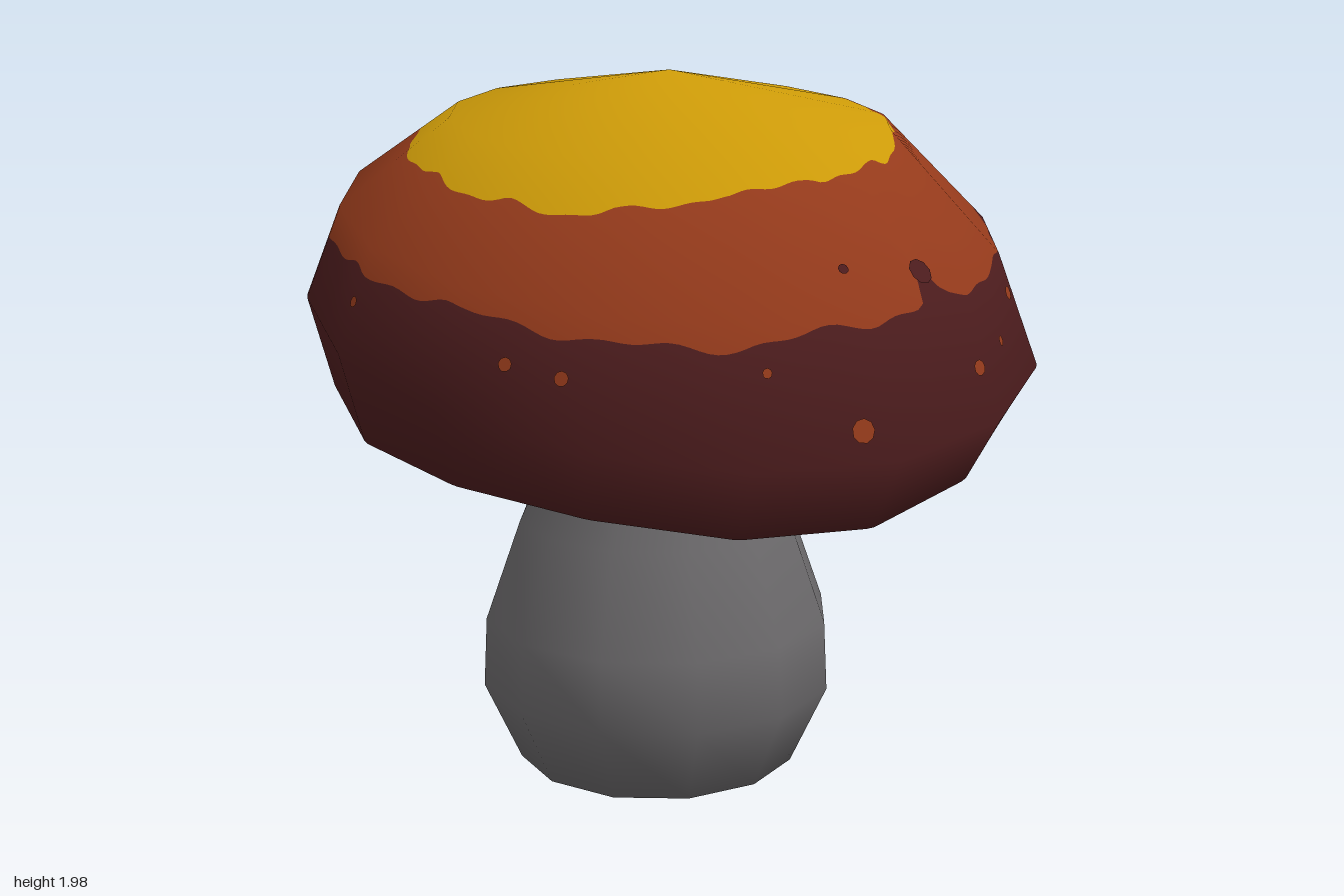
import * as THREE from 'three';

const mat = (name, color, side = THREE.FrontSide) => {
  const m = new THREE.MeshStandardMaterial({ color, side });
  m.name = name;
  return m;
};

const SIDES = 16, COLUMNS = 256, TWIST = 0.6;
// Cap rings from apex to gills: radius, height, shift along z, tilt along z, share of lip waviness
const RINGS = [
  [0, 0.668, -0.13, 0, 0], [0.605, 0.543, -0.105, 0.126, 0], [0.91, 0.283, -0.06, 0.06, 0],
  [1.02, 0.02, 0, 0, 0.2], [0.945, -0.2, 0.015, 0, 1], [0.86, -0.226, 0, 0, 1],
  [0.6, -0.14, 0, 0, 0.4], [0.05, -0.04, 0, 0, 0],
];
const LAST = RINGS.length - 1;

// Soft bump around an angle
const bump = (a, centre, width) => {
  const d = Math.atan2(Math.sin(a - centre), Math.cos(a - centre)) / width;
  return Math.exp(-d * d);
};
const lipWave = (a) => 0.11 * bump(a, 0.7, 0.45) - 0.05 * bump(a, 1.5, 0.3)
  - 0.05 * bump(a, 4.35, 0.5) + 0.02 * bump(a, -1, 0.4);

// Indices for a closed tube of rows, running downwards
function gridIndex(rows, cols, fromRow = 0) {
  const index = [];
  for (let i = fromRow; i < fromRow + rows - 1; i++) {
    for (let j = 0; j < cols; j++) {
      const k = (j + 1) % cols;
      const a = i * cols + j, b = i * cols + k, c = a + cols, d = b + cols;
      index.push(a, c, b, b, c, d);
    }
  }
  return index;
}

// Coarse cap form, returned as a sampler of position and normal at (angle, ring)
function capSurface() {
  const pos = [];
  for (const [r, y, shift, tilt, wave] of RINGS) {
    for (let j = 0; j < SIDES; j++) {
      const a = ((j + TWIST) / SIDES) * Math.PI * 2;
      const z = Math.cos(a) * r;
      pos.push(Math.sin(a) * r, y + tilt * z + wave * lipWave(a), z + shift);
    }
  }
  const geo = new THREE.BufferGeometry();
  geo.setAttribute('position', new THREE.Float32BufferAttribute(pos, 3));
  geo.setIndex(gridIndex(RINGS.length, SIDES));
  geo.computeVertexNormals();
  for (let j = 0; j < SIDES; j++) geo.attributes.normal.setXYZ(j, 0, 1, 0);
  geo.applyMatrix4(new THREE.Matrix4().makeRotationFromEuler(new THREE.Euler(0.235, 0, 0.065)));
  geo.translate(0, 1.3, 0);

  const read = (attr, i, j) =>
    new THREE.Vector3().fromBufferAttribute(attr, i * SIDES + ((j % SIDES) + SIDES) % SIDES);
  const sample = (attr, angle, s) => {
    const u = (angle / (Math.PI * 2)) * SIDES - TWIST;
    const j = Math.floor(u), i = Math.min(Math.floor(s), LAST - 1);
    const top = read(attr, i, j).lerp(read(attr, i, j + 1), u - j);
    const low = read(attr, i + 1, j).lerp(read(attr, i + 1, j + 1), u - j);
    return top.lerp(low, s - i);
  };
  return (angle, s) => ({
    p: sample(geo.attributes.position, angle, s),
    n: sample(geo.attributes.normal, angle, s).normalize(),
  });
}

// Ring value down to which the cap stays inside a region
function edgeAt(surface, angle, inside) {
  let lo = 0, hi = 3;
  for (let k = 0; k < 20; k++) {
    const mid = (lo + hi) / 2;
    if (inside(surface(angle, mid).p)) lo = mid; else hi = mid;
  }
  return lo;
}

function createCap(surface, materials) {
  // Ragged colour borders, one set per column
  const ragged = (a, k) =>
    Math.sin(a * 5 + k) * 0.5 + Math.sin(a * 13 + k * 3) * 0.4 + Math.sin(a * 29 + k * 5) * 0.3;
  const spikes = [0.4, 0.96, 1.43, 2.0, 2.48, 2.79, 3.02, 3.67, 4.2, 4.8, 5.4, 5.9];
  const borders = [];
  for (let j = 0; j < COLUMNS; j++) {
    const a = (j / COLUMNS) * Math.PI * 2;
    const radius = 0.645 + ragged(a, 1) * 0.012 + 0.035 * bump(a, 0.55, 0.5);
    const crown = edgeAt(surface, a, (p) => Math.hypot(p.x + 0.1, p.z) < radius);
    const height = 1.568 + ragged(a, 2) * 0.022 + 0.07 * bump(a, 0.1, 0.035) + 0.035 * bump(a, 1.9, 0.7);
    const band = edgeAt(surface, a, (p) => p.y > height + 0.11 * p.x - 0.17 * p.z);
    let gill = 5.28 + ragged(a, 4) * 0.08 + 0.1 * bump(a, 1.2, 0.4);
    spikes.forEach((c, k) => { gill -= (0.85 + (k % 3) * 0.2) * bump(a, c, 0.032); });
    borders.push([0, crown, band, gill, LAST]);
  }

  // Each colour zone repeats the ring rows, clamped between its borders
  const pos = [], nor = [], index = [];
  const geo = new THREE.BufferGeometry();
  for (let zone = 0; zone < 4; zone++) {
    const firstRow = zone * RINGS.length;
    for (let row = 0; row < RINGS.length; row++) {
      for (let j = 0; j < COLUMNS; j++) {
        const s = THREE.MathUtils.clamp(row, borders[j][zone], borders[j][zone + 1]);
        const { p, n } = surface((j / COLUMNS) * Math.PI * 2, s);
        pos.push(p.x, p.y, p.z);
        nor.push(n.x, n.y, n.z);
      }
    }
    const part = gridIndex(RINGS.length, COLUMNS, firstRow);
    geo.addGroup(index.length, part.length, zone);
    for (const v of part) index.push(v);
  }
  geo.setAttribute('position', new THREE.Float32BufferAttribute(pos, 3));
  geo.setAttribute('normal', new THREE.Float32BufferAttribute(nor, 3));
  geo.setIndex(index);
  const cap = new THREE.Mesh(geo, materials);
  cap.name = 'cap';
  return cap;
}

export function createModel() {
  const yellow = mat('crown yellow', 0xcc9a08);
  const orange = mat('band orange', 0x943a1b);
  const brown = mat('rim brown', 0x4c1c1d);
  const dark = mat('gill black', 0x150504, THREE.DoubleSide);
  const grey = mat('stem grey', 0x6b696b);

  const model = new THREE.Group();
  model.name = 'mushroom';

  // Cap
  const surface = capSurface();
  model.add(createCap(surface, [yellow, orange, brown, dark]));

  // Spots: angle in degrees, ring value, radius, material
  const spots = new THREE.Group();
  spots.name = 'spots';
  const list = [
    [-58, 2.5, 0.019, orange], [-28, 2.33, 0.013, orange], [-14, 2.77, 0.031, orange],
    [12, 2.57, 0.021, orange], [23, 2.54, 0.014, orange], [33, 2.3, 0.019, orange],
    [58, 2.46, 0.019, orange], [68, 2.54, 0.018, orange], [88, 2.64, 0.021, orange],
    [102, 2.2, 0.018, orange], [-132, 2.4, 0.018, orange], [-99, 2.5, 0.015, orange],
    [188, 2.15, 0.022, orange], [-67, 2.5, 0.018, orange],
    [-11, 1.7, 0.014, brown], [6, 1.82, 0.036, brown],
  ];
  for (const [deg, s, radius, material] of list) {
    const angle = THREE.MathUtils.degToRad(deg);
    const { p, n } = surface(angle, s);
    const spot = new THREE.Mesh(new THREE.CircleGeometry(radius, 9), material);
    spot.name = 'spot';
    // Face the flat of the cap rather than its smoothed normal
    const du = surface(angle + 0.02, s).p.sub(surface(angle - 0.02, s).p);
    const dv = surface(angle, s + 0.04).p.sub(surface(angle, s - 0.04).p);
    const flat = dv.cross(du).normalize();
    if (flat.dot(n) < 0) flat.negate();
    spot.quaternion.setFromUnitVectors(new THREE.Vector3(0, 0, 1), flat);
    spot.position.copy(p).addScaledVector(flat, 0.005);
    spots.add(spot);
  }
  model.add(spots);

  // Stem with a bulbous foot, closed underneath
  const profile = [[0, 0], [0.405, 0], [0.51, 0.23], [0.5, 0.43], [0.4, 0.71], [0.315, 0.9], [0.215, 1.2], [0.185, 1.36]];
  const stem = new THREE.Mesh(
    new THREE.LatheGeometry(profile.map(([r, y]) => new THREE.Vector2(r, y)), 12), grey);
  stem.name = 'stem';
  stem.position.set(-0.035, 0, -0.035);
  model.add(stem);

  return model;
}
